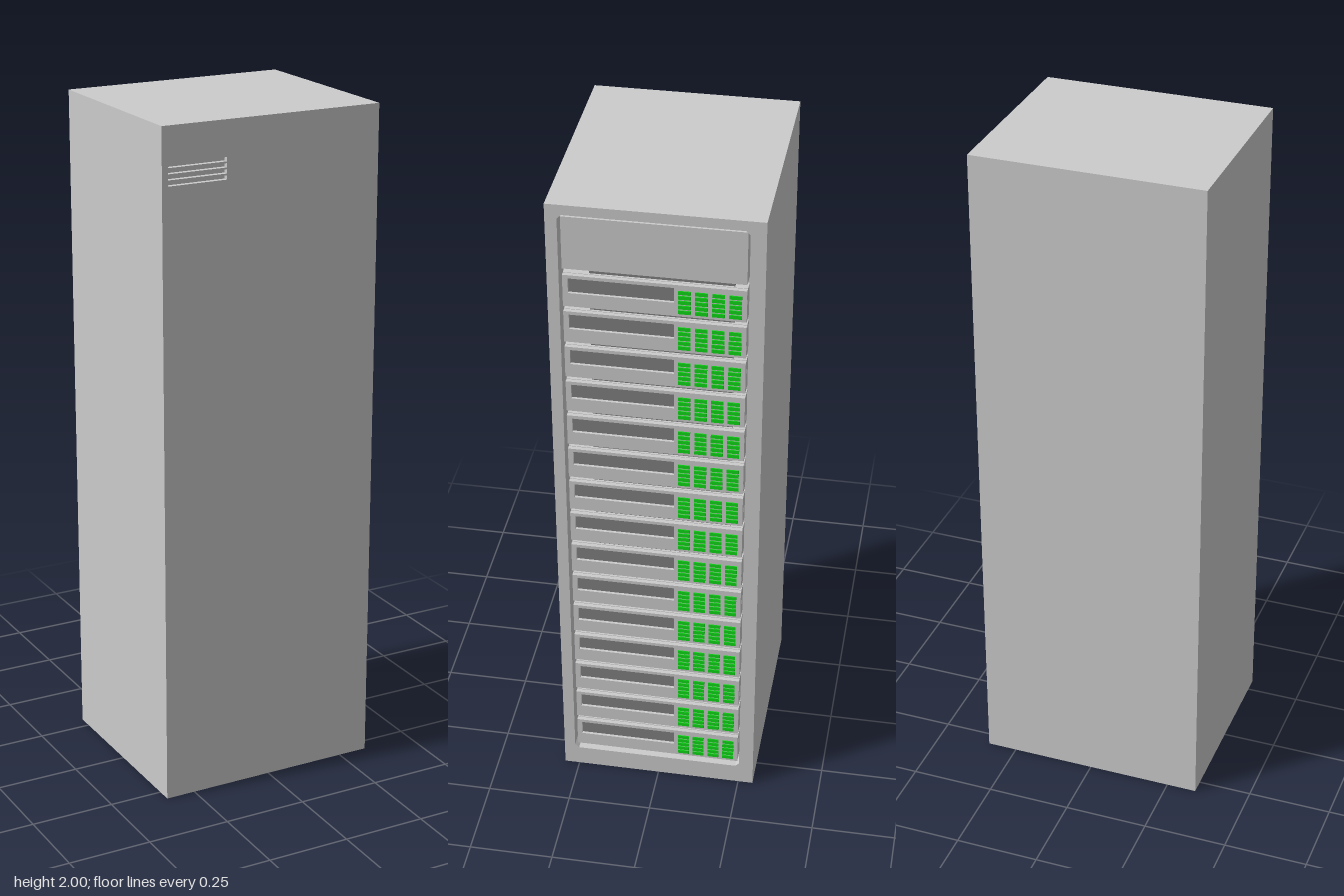
import * as THREE from 'three';
import { mergeGeometries } from 'three/addons/utils/BufferGeometryUtils.js';

const grey = new THREE.MeshStandardMaterial({ color: 0xcccccc });
const dark = new THREE.MeshStandardMaterial({ color: 0x808080 });
const green = new THREE.MeshStandardMaterial({ color: 0x10d818 });

const W = 0.34, D = 0.295, H = 2;      // half width, half depth, height
const CAVITY = 0.285, FACE = 0.33;     // x of the cavity floor and of the unit faces
const UNITS = 15, PITCH = 0.1148, UNIT_H = 0.098;

// Rectangle outline from corner to corner, with optional chamfer
function rect(u0, v0, u1, v1, c = 0, Type = THREE.Shape) {
  const pts = c
    ? [[u0 + c, v0], [u1 - c, v0], [u1, v0 + c], [u1, v1 - c], [u1 - c, v1], [u0 + c, v1], [u0, v1 - c], [u0, v0 + c]]
    : [[u0, v0], [u1, v0], [u1, v1], [u0, v1]];
  return new Type(pts.map(([u, v]) => new THREE.Vector2(u, v)));
}

// Flat plate with holes, extruded along +z
function plate(outline, holes, depth) {
  outline.holes = holes;
  return new THREE.ExtrudeGeometry(outline, { depth, bevelEnabled: false });
}

// Turn a plate to face +x (its u axis becomes -z)
const toSide = (geo, x, y = 0) => geo.rotateY(Math.PI / 2).translate(x, y, 0);

function box(x0, x1, y0, y1, z0, z1) {
  return new THREE.BoxGeometry(x1 - x0, y1 - y0, z1 - z0)
    .translate((x0 + x1) / 2, (y0 + y1) / 2, (z0 + z1) / 2);
}

function add(parent, name, geo, mat = grey) {
  const mesh = new THREE.Mesh(geo, mat);
  mesh.name = name;
  parent.add(mesh);
  return mesh;
}

export function createModel() {
  const model = new THREE.Group();
  model.name = 'serverCabinet';
  const frontInner = 0.28;

  // Cabinet body behind the open side
  add(model, 'cabinetBody', box(-W, CAVITY, 0, H, -D, frontInner));

  // Front panel with four vent slots
  const slots = [];
  for (let i = 0; i < 4; i++) {
    const y = 1.834 + i * 0.0168;
    slots.push(rect(-0.322, y, -0.142, y + 0.012, 0, THREE.Path));
  }
  add(model, 'ventedFrontPanel',
    plate(rect(-W, 0, W, H), slots, D - frontInner).translate(0, 0, frontInner));

  // Frame around the rack opening
  const opening = rect(-0.262, 0.064, 0.252, 1.97, 0.012, THREE.Path);
  add(model, 'rackFrame',
    toSide(plate(rect(-frontInner, 0, D, H), [opening], W - CAVITY), CAVITY));

  // Blank cover at the top of the rack
  add(model, 'blankPanel', box(CAVITY, FACE, 1.8, 1.96, -0.245, 0.255));

  // Dark slats in the gaps under the units' top edges
  const slats = [];
  for (let i = 1; i <= UNITS; i++) {
    const y = 0.075 + i * PITCH;
    slats.push(box(CAVITY, FACE - 0.02, y - PITCH + UNIT_H, y, -0.21, 0.185));
  }
  add(model, 'gapSlats', mergeGeometries(slats), dark);

  // Shared geometry of one rack unit, with y = 0 at its base
  const bay = rect(-0.24, 0.042, 0.048, 0.088, 0, THREE.Path);
  const faceDepth = 0.012;
  const unitGeo = mergeGeometries([
    toSide(plate(rect(-0.255, 0, 0.245, UNIT_H), [bay], faceDepth), FACE - faceDepth),
    box(CAVITY, FACE - faceDepth - 0.002, 0, UNIT_H, -0.245, 0.255).toNonIndexed(),
  ]);
  const bayGeo = box(FACE - faceDepth - 0.004, FACE - 0.008, 0.042, 0.088, -0.048, 0.24);
  const lights = [];
  for (let c = 0; c < 4; c++) {
    for (let r = 0; r < 5; r++) {
      const z = -0.06 - c * 0.046, y = 0.009 + r * 0.0152;
      lights.push(box(FACE - 0.004, FACE + 0.003, y, y + 0.011, z - 0.034, z));
    }
  }
  const lightGeo = mergeGeometries(lights);

  // Stack of rack units
  for (let i = 0; i < UNITS; i++) {
    const unit = new THREE.Group();
    unit.name = 'rackUnit' + (i + 1);
    unit.position.y = 0.075 + i * PITCH;
    add(unit, 'unitCase', unitGeo);
    add(unit, 'driveBay', bayGeo, dark);
    add(unit, 'statusLights', lightGeo, green);
    model.add(unit);
  }
  return model;
}
